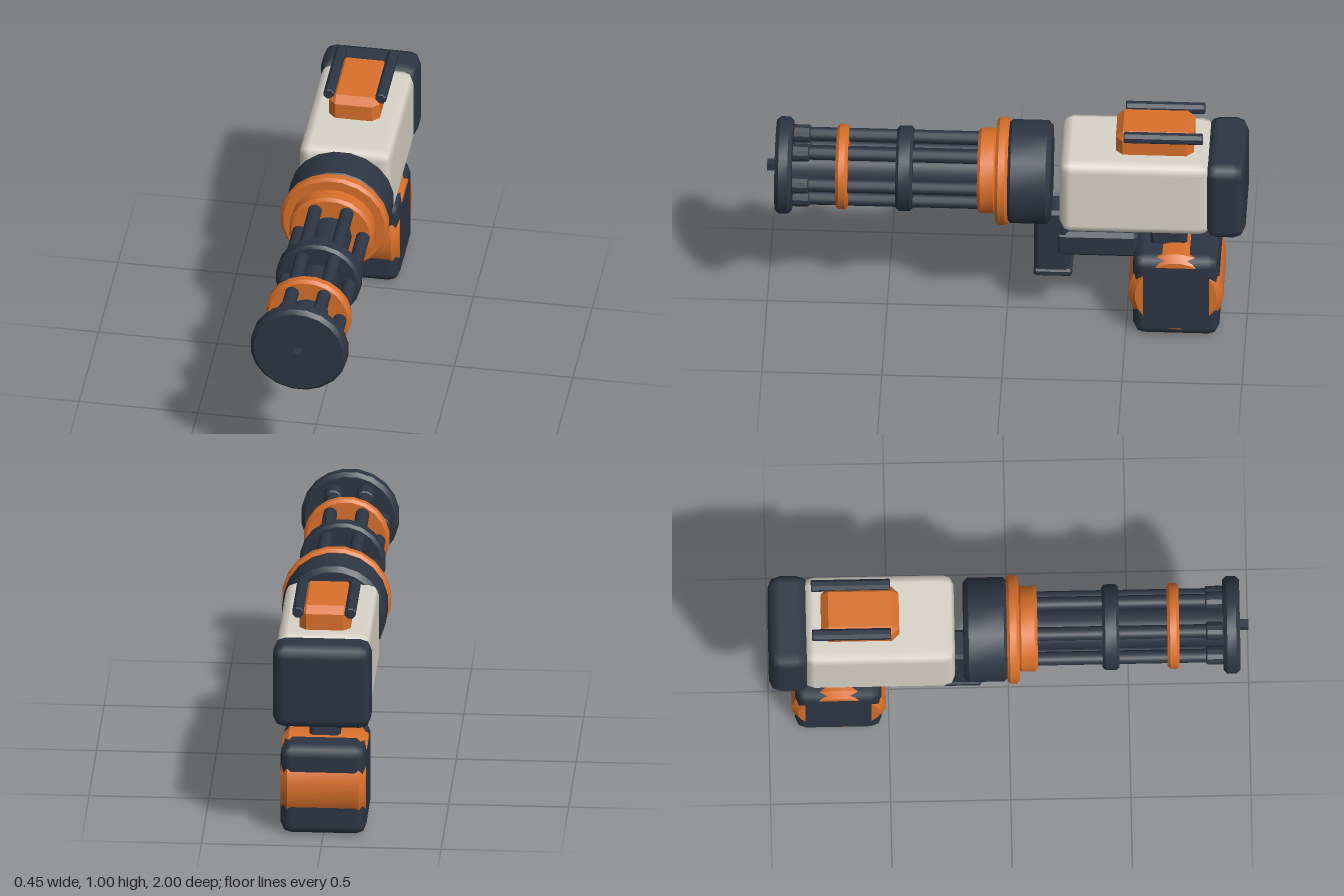
import * as THREE from 'three';
import { toCreasedNormals } from 'three/addons/utils/BufferGeometryUtils.js';
import { RoundedBoxGeometry } from 'three/addons/geometries/RoundedBoxGeometry.js';
import { ConvexGeometry } from 'three/addons/geometries/ConvexGeometry.js';

const material = (name, color) => {
  const m = new THREE.MeshStandardMaterial({ color });
  m.name = name;
  return m;
};

// Solid disc around the y axis with bevelled rims
function bevelDisc(radius, length, bevel, sides = 20) {
  const h = length / 2;
  const profile = [
    [0, -h], [radius - bevel, -h], [radius, bevel - h],
    [radius, h - bevel], [radius - bevel, h], [0, h],
  ].map(([r, y]) => new THREE.Vector2(r, y));
  return toCreasedNormals(new THREE.LatheGeometry(profile, sides, Math.PI / sides), 0.5);
}

// Box with flat chamfers on all edges
function chamferBox(w, h, d, c) {
  const points = [];
  for (const x of [-1, 1]) for (const y of [-1, 1]) for (const z of [-1, 1]) {
    for (let full = 0; full < 3; full++) {
      const cut = [c, c, c];
      cut[full] = 0;
      points.push(new THREE.Vector3(x * (w / 2 - cut[0]), y * (h / 2 - cut[1]), z * (d / 2 - cut[2])));
    }
  }
  return new ConvexGeometry(points);
}

export function createModel() {
  const model = new THREE.Group();
  model.name = 'rotaryBlaster';
  const dark = material('darkSlate', 0x2d3644);
  const orange = material('orange', 0xd9702b);
  const cream = material('cream', 0xd9d4c9);
  const axisY = 0.706;

  const add = (name, geometry, mat, x, y, z, parent = model) => {
    const mesh = new THREE.Mesh(geometry, mat);
    mesh.name = name;
    mesh.position.set(x, y, z);
    parent.add(mesh);
    return mesh;
  };
  // Disc on the barrel axis between two z values
  const disc = (name, mat, radius, z0, z1, bevel) =>
    add(name, bevelDisc(radius, z1 - z0, bevel).rotateX(Math.PI / 2), mat, 0, axisY, (z0 + z1) / 2);

  // Barrel cluster
  const barrels = new THREE.Group();
  barrels.name = 'barrelCluster';
  model.add(barrels);
  const barrelGeo = new THREE.CylinderGeometry(0.029, 0.029, 0.87, 12).rotateX(Math.PI / 2);
  const collarGeo = bevelDisc(0.038, 0.075, 0.006, 12).rotateX(Math.PI / 2);
  for (let i = 0; i < 6; i++) {
    const a = (i * Math.PI) / 3;
    const x = 0.134 * Math.cos(a), y = axisY + 0.134 * Math.sin(a);
    add('barrel', barrelGeo, dark, x, y, 0.47, barrels);
    add('barrelCollar', collarGeo, dark, x, y, 0.858, barrels);
  }
  add('barrelCore', new THREE.CylinderGeometry(0.088, 0.088, 0.87, 16).rotateX(Math.PI / 2), dark, 0, axisY, 0.47, barrels);

  // Discs and rings along the barrels
  disc('muzzleDisc', dark, 0.205, 0.893, 0.963, 0.016);
  disc('frontRing', orange, 0.18, 0.66, 0.71, 0.012);
  disc('middleRing', dark, 0.18, 0.39, 0.46, 0.012);
  disc('rearRing', orange, 0.18, 0.04, 0.12, 0.012);
  disc('collarRing', orange, 0.228, -0.008, 0.044, 0.012);
  disc('drum', dark, 0.219, -0.187, 0, 0.02);
  add('muzzlePin', new THREE.BoxGeometry(0.036, 0.036, 0.05), dark, 0, axisY, 0.975);

  // Receiver and rear cap
  add('receiver', new RoundedBoxGeometry(0.39, 0.358, 0.63, 1, 0.045), cream, 0, axisY, -0.54);
  add('rearCap', new RoundedBoxGeometry(0.41, 0.37, 0.17, 1, 0.05), dark, 0, 0.704, -0.915);

  // Top block with side rails
  add('topBlock', chamferBox(0.214, 0.13, 0.325, 0.03), orange, 0, 0.92, -0.618);
  const railGeo = bevelDisc(0.0245, 0.33, 0.004, 8).rotateX(Math.PI / 2);
  for (const side of [-1, 1]) add('topRail', railGeo, dark, side * 0.109, 0.976, -0.655);

  // Front handle, foot and connecting bar
  add('frontHandle', chamferBox(0.13, 0.32, 0.146, 0.015), dark, 0, 0.385, -0.187);
  add('handleFoot', chamferBox(0.144, 0.035, 0.16, 0.009), dark, 0, 0.235, -0.193);
  add('connectingBar', chamferBox(0.144, 0.12, 0.345, 0.018), dark, 0, 0.382, -0.375);

  // Leaning neck between receiver and magazine
  const neckGeo = chamferBox(0.13, 0.22, 0.15, 0.012);
  neckGeo.applyMatrix4(new THREE.Matrix4().makeShear(0, 0, 0, 0, 0, 0).set(
    1, 0, 0, 0,
    0, 1, 0, 0,
    0, 0.12, 1, 0,
    0, 0, 0, 1));
  neckGeo.computeVertexNormals();
  add('neck', neckGeo, dark, 0, 0.46, -0.67);

  // Magazine box with a cylinder showing through it
  add('magazineBox', new RoundedBoxGeometry(0.357, 0.396, 0.36, 1, 0.045), dark, 0, 0.2, -0.71);
  add('magazineDrum', bevelDisc(0.198, 0.355, 0.028, 24).rotateZ(Math.PI / 2), orange, 0, 0.21, -0.709);

  return model;
}
